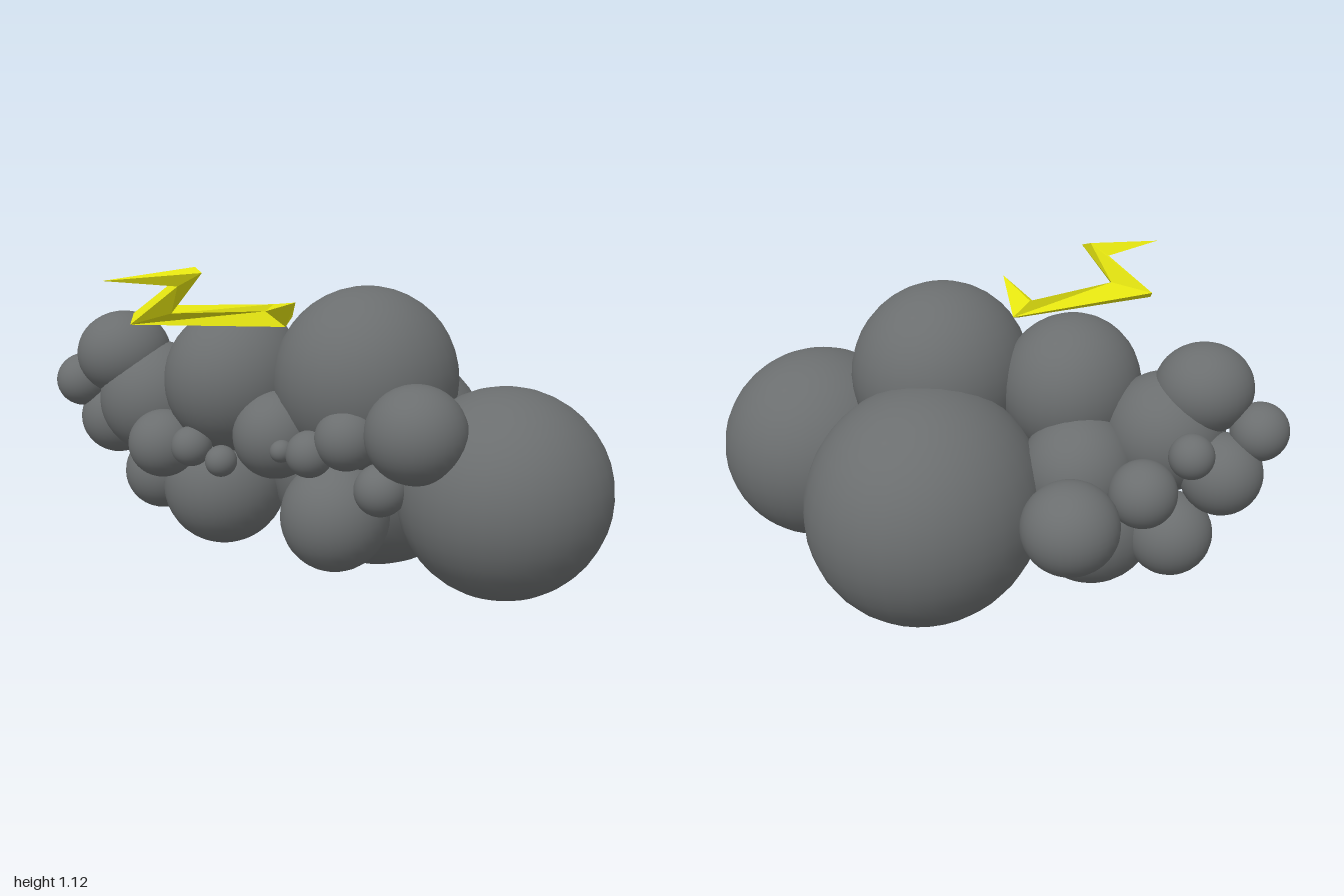
import * as THREE from 'three';

const cloudGrey = new THREE.MeshStandardMaterial({ color: 0x6b6e6f });
cloudGrey.name = 'cloudGrey';
const boltYellow = new THREE.MeshStandardMaterial({ color: 0xe4e410, flatShading: true, side: THREE.DoubleSide });
boltYellow.name = 'boltYellow';

// Puffs: name, centre x y z, radius x y z
const puffs = [
  ['backPuff', 0.07, 0.40, -0.29, 0.39, 0.40, 0.43],
  ['leftPuff', 0.65, 0.40, -0.02, 0.345, 0.343, 0.365],
  ['topPuff', 0.18, 0.74, 0.04, 0.30, 0.305, 0.33],
  ['crownPuff', -0.26, 0.72, 0.15, 0.235, 0.245, 0.26],
  ['rightPuff', -0.60, 0.62, 0.14, 0.20, 0.20, 0.21],
  ['rightUpperPuff', -0.71, 0.777, 0.183, 0.162, 0.148, 0.168],
  ['rightTipPuff', -0.905, 0.663, 0.175, 0.095, 0.095, 0.105],
  ['rightSidePuff', -0.81, 0.525, 0.10, 0.135, 0.135, 0.142],
  ['rightLowerPuff', -0.675, 0.315, 0.02, 0.14, 0.14, 0.145],
  ['bottomPuff', -0.40, 0.305, 0.02, 0.218, 0.22, 0.23],
  ['corePuff', -0.37, 0.51, -0.04, 0.19, 0.19, 0.205],
  ['backRightPuff', -0.457, 0.45, -0.325, 0.157, 0.15, 0.16],
  ['backSmallPuff', -0.62, 0.51, -0.12, 0.11, 0.11, 0.115],
  ['backTinyPuff', -0.745, 0.63, -0.035, 0.073, 0.073, 0.075],
  ['frontLowerPuff', 0.145, 0.305, 0.19, 0.18, 0.185, 0.185],
  ['frontMiddlePuff', -0.04, 0.57, 0.25, 0.14, 0.145, 0.155],
  ['frontLeftPuff', 0.468, 0.63, 0.27, 0.16, 0.155, 0.163],
  ['frontLeftSmallPuff', 0.25, 0.60, 0.31, 0.10, 0.10, 0.105],
  ['frontLeftTinyPuff', 0.135, 0.545, 0.34, 0.075, 0.075, 0.08],
  ['frontBeadPuff', 0.05, 0.55, 0.37, 0.036, 0.036, 0.04],
  ['frontLeftUnderPuff', 0.335, 0.43, 0.24, 0.085, 0.085, 0.09],
  ['frontRightPuff', -0.455, 0.505, 0.31, 0.117, 0.115, 0.12],
  ['frontRightSmallPuff', -0.31, 0.52, 0.35, 0.067, 0.067, 0.07],
  ['frontRightTinyPuff', -0.20, 0.48, 0.34, 0.052, 0.052, 0.055],
];

// Lightning bolt: four-cornered sections along a zigzag, pointed at both ends
const tip = (x, y, z) => Array(4).fill([x, y, z]);
const sections = [
  tip(-0.357, 1.095, 0.715),
  [[-0.19, 1.125, 0.475], [-0.15, 1.11, 0.495], [-0.21, 1.07, 0.54], [-0.255, 1.085, 0.485]],
  [[-0.28, 1.0, 0.455], [-0.265, 0.98, 0.50], [-0.40, 0.94, 0.535], [-0.42, 0.97, 0.49]],
  [[-0.09, 0.985, 0.18], [-0.10, 0.965, 0.215], [-0.04, 0.915, 0.19], [-0.055, 0.94, 0.12]],
  tip(0.075, 1.015, 0.32),
];

function boltGeometry() {
  const positions = [];
  for (let s = 0; s < sections.length - 1; s++) {
    const a = sections[s], b = sections[s + 1];
    for (let i = 0; i < 4; i++) {
      const j = (i + 1) % 4;
      // skip the collapsed triangles at the tips
      if (s > 0) positions.push(...a[j], ...a[i], ...b[i]);
      if (s < sections.length - 2) positions.push(...a[j], ...b[i], ...b[j]);
    }
  }
  const geometry = new THREE.BufferGeometry();
  geometry.setAttribute('position', new THREE.Float32BufferAttribute(positions, 3));
  geometry.computeVertexNormals();
  return geometry;
}

export function createModel() {
  const model = new THREE.Group();
  model.name = 'stormCloud';

  const cloud = new THREE.Group();
  cloud.name = 'cloud';
  const sphere = new THREE.SphereGeometry(1, 32, 20);
  for (const [name, x, y, z, rx, ry, rz] of puffs) {
    const puff = new THREE.Mesh(sphere, cloudGrey);
    puff.name = name;
    puff.position.set(x, y, z);
    puff.scale.set(rx, ry, rz);
    cloud.add(puff);
  }

  const bolt = new THREE.Mesh(boltGeometry(), boltYellow);
  bolt.name = 'lightningBolt';
  model.add(cloud, bolt);
  return model;
}
